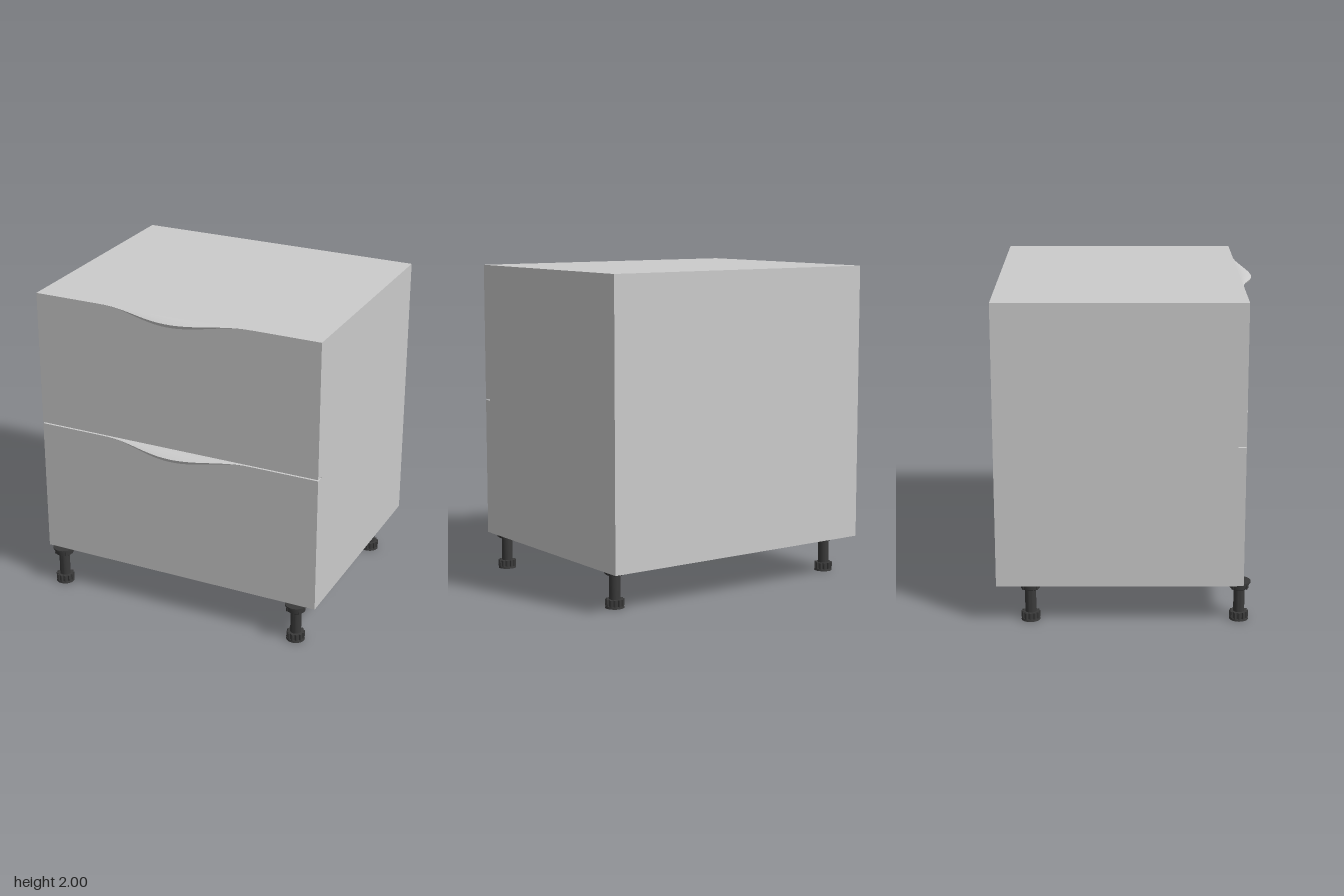
import * as THREE from 'three';
import { toCreasedNormals } from 'three/addons/utils/BufferGeometryUtils.js';

const grey = new THREE.MeshStandardMaterial({ color: 0xcccccc });
const dark = new THREE.MeshStandardMaterial({ color: 0x3a3a3a });

const LEFT = 0.94, BACK = -0.79, FRONT = 0.71, SEAM = 0.66;

function add(parent, name, geometry, material) {
  const mesh = new THREE.Mesh(geometry, material);
  mesh.name = name;
  parent.add(mesh);
  return mesh;
}

function block(parent, name, y0, y1, z0, z1) {
  const mesh = add(parent, name, new THREE.BoxGeometry(LEFT * 2, y1 - y0, z1 - z0), grey);
  mesh.position.set(0, (y0 + y1) / 2, (z0 + z1) / 2);
}

// Curved lip: a drooping cross-section that swells and fades along x
function lipGeometry() {
  const half = 0.5, steps = 64, arc = 8;
  const section = [];
  for (let i = 0; i <= arc; i++) {
    const u = i / arc;
    section.push([0.08 * u, -0.022 * u * u]);
  }
  for (let i = arc; i >= 0; i--) {
    const u = i / arc;
    section.push([0.071 * u, -0.004 - 0.039 * u * u]);
  }
  const n = section.length, positions = [], index = [];
  for (let j = 0; j <= steps; j++) {
    const x = -half + (2 * half * j) / steps;
    const s = Math.max(0.01, Math.cos((Math.PI * x) / (2 * half)) ** 2);
    for (const [z, y] of section) positions.push(x, y * s, z * s);
  }
  for (let j = 0; j < steps; j++) {
    for (let i = 0; i < n; i++) {
      const a = j * n + i, b = j * n + ((i + 1) % n);
      index.push(a, b, b + n, a, b + n, a + n);
    }
  }
  const geometry = new THREE.BufferGeometry();
  geometry.setAttribute('position', new THREE.Float32BufferAttribute(positions, 3));
  geometry.setIndex(index);
  return toCreasedNormals(geometry, 0.6);
}

// Scalloped grip outline for the adjustable foot
function gripGeometry() {
  const shape = new THREE.Shape();
  const count = 72;
  for (let i = 0; i < count; i++) {
    const a = (i / count) * Math.PI * 2;
    const r = 0.053 + 0.005 * Math.tanh(3 * Math.cos(a * 12));
    if (i === 0) shape.moveTo(r, 0);
    else shape.lineTo(r * Math.cos(a), r * Math.sin(a));
  }
  const geometry = new THREE.ExtrudeGeometry(shape, { depth: 0.04, bevelEnabled: false });
  return geometry.rotateX(-Math.PI / 2).translate(0, 0.013, 0);
}

function createLeg() {
  const leg = new THREE.Group();
  leg.name = 'leg';
  // Mounting plate, collar and shaft
  const profile = [
    [0, 0.25], [0.07, 0.25], [0.07, 0.24], [0.06, 0.236], [0.058, 0.208],
    [0.052, 0.203], [0.034, 0.203], [0.034, 0.05], [0, 0.05],
  ].reverse().map(([r, y]) => new THREE.Vector2(r, y));
  add(leg, 'legShaft', toCreasedNormals(new THREE.LatheGeometry(profile, 32), 0.5), dark);
  // Ribs under the mounting plate
  for (let i = 0; i < 4; i++) {
    const a = (i * Math.PI) / 2 + Math.PI / 4;
    const rib = add(leg, 'collarRib', new THREE.BoxGeometry(0.018, 0.035, 0.012), dark);
    rib.position.set(0.054 * Math.cos(a), 0.224, -0.054 * Math.sin(a));
    rib.rotation.y = a;
  }
  // Adjustable foot
  add(leg, 'footGrip', gripGeometry(), dark);
  const pad = add(leg, 'footPad', new THREE.CylinderGeometry(0.055, 0.058, 0.013, 32), dark);
  pad.position.y = 0.0065;
  return leg;
}

export function createModel() {
  const model = new THREE.Group();
  model.name = 'drawerCabinet';

  // Carcass
  block(model, 'carcass', 0.25, 2, BACK, SEAM);

  // Drawer fronts with their lip handles
  for (const [name, y0, y1] of [['upperDrawer', 1.134, 2], ['lowerDrawer', 0.25, 1.126]]) {
    const drawer = new THREE.Group();
    drawer.name = name;
    block(drawer, 'drawerFront', y0, y1, SEAM, FRONT);
    add(drawer, 'lipHandle', lipGeometry(), grey).position.set(0, y1, FRONT);
    model.add(drawer);
  }

  // Legs
  for (const x of [-0.843, 0.81]) {
    for (const z of [0.69, -0.587]) {
      const leg = createLeg();
      leg.position.set(x, 0, z);
      model.add(leg);
    }
  }
  return model;
}
